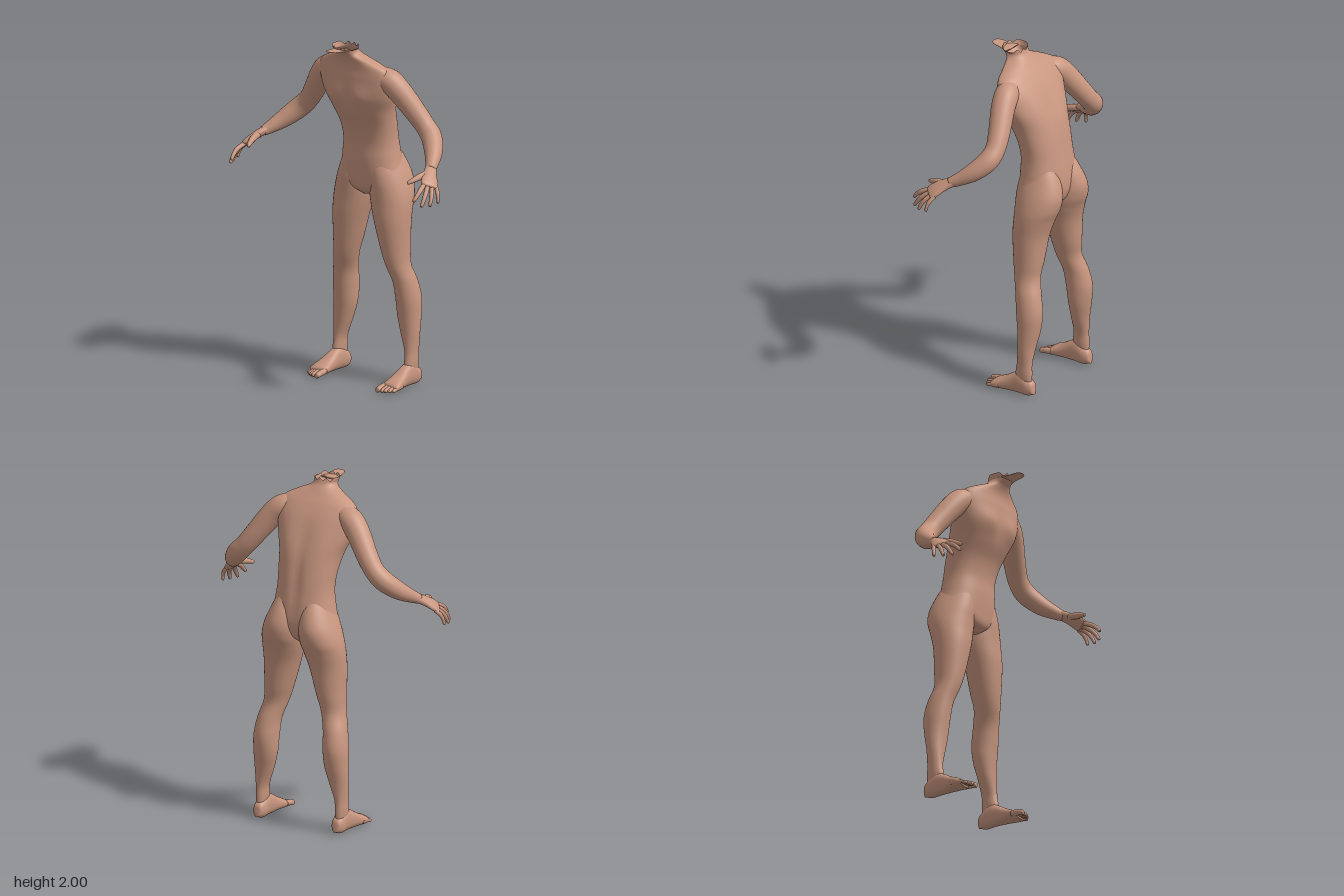
import * as THREE from 'three';

const skin = new THREE.MeshStandardMaterial({ color: 0xc8967f, side: THREE.DoubleSide });
skin.name = 'skin';

const V = (x, y, z) => new THREE.Vector3(x, y, z);
const power = (c, n) => Math.sign(c) * Math.pow(Math.abs(c), 2 / n);

// Smooth skin over cross-sections [x, y, z, radiusU, radiusV].
// u: direction of radiusU, t: fixed section normal (else the path tangent).
function loft(name, rows, { u, t = null, n = 2, sides = 32, steps = 6, openStart = false, deform = null }) {
  const path = new THREE.CatmullRomCurve3(rows.map(r => V(r[0], r[1], r[2])), false, 'catmullrom', 0.5);
  const size = new THREE.CatmullRomCurve3(rows.map(r => V(r[3], r[4], 0)), false, 'catmullrom', 0.5);
  const count = (rows.length - 1) * steps;
  const pos = [], index = [];
  for (let i = 0; i <= count; i++) {
    const c = path.getPoint(i / count), s = size.getPoint(i / count);
    const dir = t || path.getTangent(i / count);
    const U = u.clone().addScaledVector(dir, -u.dot(dir)).normalize();
    const W = dir.clone().cross(U);
    for (let j = 0; j < sides; j++) {
      const a = (j / sides) * Math.PI * 2;
      const p = c.clone().addScaledVector(U, power(Math.cos(a), n) * Math.max(s.x, 0.001))
        .addScaledVector(W, power(Math.sin(a), n) * Math.max(s.y, 0.001));
      if (deform) deform(p, Math.sin(a));
      pos.push(p.x, p.y, p.z);
      if (i < count) {
        const k = (j + 1) % sides, A = i * sides + j, B = i * sides + k;
        index.push(A, B, A + sides, B, B + sides, A + sides);
      }
    }
  }
  // end caps
  const cap = (ring, row, flip) => {
    const m = pos.length / 3;
    pos.push(row[0], row[1], row[2]);
    for (let j = 0; j < sides; j++) {
      const a = ring * sides + j, b = ring * sides + (j + 1) % sides;
      index.push(m, flip ? b : a, flip ? a : b);
    }
  };
  if (!openStart) cap(0, rows[0], true);
  cap(count, rows[rows.length - 1], false);
  const g = new THREE.BufferGeometry();
  g.setAttribute('position', new THREE.Float32BufferAttribute(pos, 3));
  g.setIndex(index);
  g.computeVertexNormals();
  const mesh = new THREE.Mesh(g, skin);
  mesh.name = name;
  return mesh;
}

// Horizontal sections given as [y, xMin, xMax, zBack, zFront], listed downwards.
const slab = (name, rows, s, opts) => loft(name,
  rows.map(([y, a, b, zb, zf]) => [s * (a + b) / 2, y, (zb + zf) / 2, (b - a) / 2, (zf - zb) / 2]),
  { u: V(1, 0, 0), t: V(0, -1, 0), ...opts });

const bump = (v, centre, width) => Math.exp(-(((v - centre) / width) ** 2));

// Chest muscles, shoulder blades, spine groove and ragged neck rim
function shapeTorso(p, front) {
  const x = Math.abs(p.x);
  if (front > 0) {
    p.z += front * 0.012 * bump(x, 0.1, 0.06) * bump(p.y, 1.69, 0.06);
    p.z -= front * 0.008 * bump(x, 0, 0.03) * bump(p.y, 1.7, 0.1);
  } else {
    p.z += front * 0.01 * bump(x, 0.11, 0.06) * bump(p.y, 1.7, 0.1);
    p.z -= front * 0.012 * bump(x, 0, 0.03) * bump(p.y, 1.48, 0.25);
  }
  if (p.y > 1.985) p.y += 0.009 * Math.sin(p.x * 160);
}

function torso() {
  const g = new THREE.Group();
  g.name = 'torso';
  g.add(slab('trunkAndNeck', [
    [1.99, -0.073, 0.073, 0.03, 0.165],
    [1.965, -0.066, 0.066, 0.02, 0.15],
    [1.94, -0.088, 0.088, 0, 0.125],
    [1.905, -0.165, 0.165, -0.03, 0.105],
    [1.865, -0.232, 0.232, -0.065, 0.098],
    [1.8, -0.25, 0.25, -0.11, 0.103],
    [1.7, -0.23, 0.23, -0.16, 0.105],
    [1.6, -0.192, 0.192, -0.205, 0.072],
    [1.5, -0.175, 0.175, -0.232, 0.018],
    [1.4, -0.17, 0.17, -0.25, -0.008],
    [1.3, -0.184, 0.184, -0.265, -0.01],
    [1.2, -0.2, 0.2, -0.268, -0.018],
    [1.13, -0.13, 0.13, -0.24, -0.03],
    [1.09, -0.03, 0.03, -0.19, -0.07],
  ], 1, { n: 2.25, sides: 56, openStart: true, deform: shapeTorso }));
  // thin tongue left under the missing chin
  g.add(loft('chinFlap', [
    [0, 1.972, 0.12, 0.062, 0.006], [0, 1.975, 0.16, 0.045, 0.006],
    [0, 1.98, 0.215, 0.038, 0.005], [0, 1.983, 0.238, 0.026, 0.004], [0, 1.983, 0.246, 0.008, 0.002],
  ], { u: V(1, 0, 0), t: V(0, 0, 1), sides: 20 }));
  return g;
}

// Rounded digit from base to tip, with a slight bend
function digit(name, s, base, tip, r0, r1, bend, u) {
  const a = V(...base), b = V(...tip), dir = b.clone().sub(a);
  const at = (f, r, k = 0) => {
    const p = a.clone().addScaledVector(dir, f).addScaledVector(V(...bend), k);
    return [s * p.x, p.y, p.z, r, r];
  };
  return loft(name, [at(0, r0), at(0.4, r0, 1), at(0.72, (r0 + r1) / 2, 0.7),
    at(0.92, r1), at(0.98, r1 * 0.7), at(1, r1 * 0.15)], { u, sides: 12, steps: 4 });
}

function arm(s) {
  const g = new THREE.Group();
  g.name = s > 0 ? 'leftArm' : 'rightArm';
  g.add(loft('shoulderToWrist', [
    [0.15, 1.82, 0.01, 0.055], [0.22, 1.803, -0.015, 0.069], [0.28, 1.75, -0.035, 0.068],
    [0.37, 1.63, -0.075, 0.061], [0.425, 1.56, -0.09, 0.057], [0.48, 1.505, -0.08, 0.059],
    [0.54, 1.445, -0.025, 0.052], [0.585, 1.4, 0.04, 0.038], [0.612, 1.375, 0.085, 0.028],
  ].map(([x, y, z, r]) => [s * x, y, z, r, r]), { u: V(0, 0, 1) }));

  const across = V(s * 0.44, -0.19, -0.88);
  g.add(loft('palm', [
    [0.598, 1.388, 0.062, 0.03, 0.026], [0.63, 1.36, 0.112, 0.039, 0.023],
    [0.66, 1.33, 0.152, 0.05, 0.02], [0.677, 1.311, 0.174, 0.048, 0.015], [0.682, 1.306, 0.18, 0.035, 0.008],
  ].map(r => [s * r[0], ...r.slice(1)]), { u: across, sides: 24 }));

  const bend = [0.008, 0.008, 0.004];
  [['indexFinger', [0.655, 1.319, 0.196], [0.666, 1.245, 0.302], 0.0135],
    ['middleFinger', [0.667, 1.314, 0.175], [0.7, 1.214, 0.272], 0.0135],
    ['ringFinger', [0.678, 1.309, 0.153], [0.723, 1.211, 0.225], 0.013],
    ['littleFinger', [0.688, 1.305, 0.132], [0.734, 1.22, 0.165], 0.0115],
  ].forEach(([name, a, b, r]) => g.add(digit(name, s, a, b, r, r * 0.72, bend, across)));
  g.add(digit('thumb', s, [0.618, 1.366, 0.115], [0.583, 1.328, 0.254], 0.019, 0.011, [0.006, 0.004, 0], V(s, 0, 0)));
  return g;
}

function leg(s) {
  const g = new THREE.Group();
  g.name = s > 0 ? 'leftLeg' : 'rightLeg';
  g.add(slab('hipToAnkle', [
    [1.38, 0.04, 0.14, -0.22, -0.07],
    [1.29, 0.01, 0.183, -0.275, -0.035],
    [1.2, 0, 0.222, -0.305, -0.025],
    [1.12, 0, 0.247, -0.296, -0.028],
    [1.05, 0.012, 0.257, -0.268, -0.03],
    [0.95, 0.042, 0.258, -0.24, -0.03],
    [0.8, 0.085, 0.256, -0.225, -0.045],
    [0.7, 0.117, 0.26, -0.215, -0.062],
    [0.6, 0.147, 0.285, -0.243, -0.09],
    [0.5, 0.155, 0.3, -0.26, -0.105],
    [0.4, 0.162, 0.302, -0.25, -0.118],
    [0.3, 0.187, 0.301, -0.23, -0.125],
    [0.2, 0.222, 0.295, -0.22, -0.125],
    [0.13, 0.228, 0.294, -0.222, -0.115],
    [0.06, 0.235, 0.285, -0.22, -0.11],
  ], s, { sides: 36 }));

  // sections as [x, z, halfWidth, height]
  g.add(loft('foot', [
    [0.258, -0.241, 0.01, 0.03], [0.258, -0.232, 0.026, 0.07], [0.258, -0.2, 0.037, 0.105],
    [0.258, -0.15, 0.039, 0.135], [0.259, -0.1, 0.042, 0.115], [0.262, -0.05, 0.05, 0.085],
    [0.265, 0, 0.058, 0.06], [0.265, 0.025, 0.056, 0.046], [0.265, 0.04, 0.045, 0.026],
  ].map(([x, z, w, h]) => [s * x, 0.004 + h / 2 + (z < -0.22 ? 0.012 : 0), z, w, h / 2]),
  { u: V(1, 0, 0), t: V(0, 0, 1), n: 2.3, sides: 28 }));

  for (let i = 0; i < 5; i++) {
    const x = i ? 0.232 + i * 0.0195 : 0.222;
    const r = i ? 0.0135 - i * 0.0006 : 0.0175;
    const tip = 0.09 - i * i * 0.0022;
    g.add(digit('toe' + (i + 1), s, [x, 0.03, tip - 0.08], [x, 0.016, tip], r, r * 0.85, [0, 0.003, 0], V(1, 0, 0)));
  }
  return g;
}

export function createModel() {
  const body = new THREE.Group();
  body.name = 'headlessFigure';
  body.add(torso());
  for (const s of [1, -1]) body.add(arm(s), leg(s));
  return body;
}
